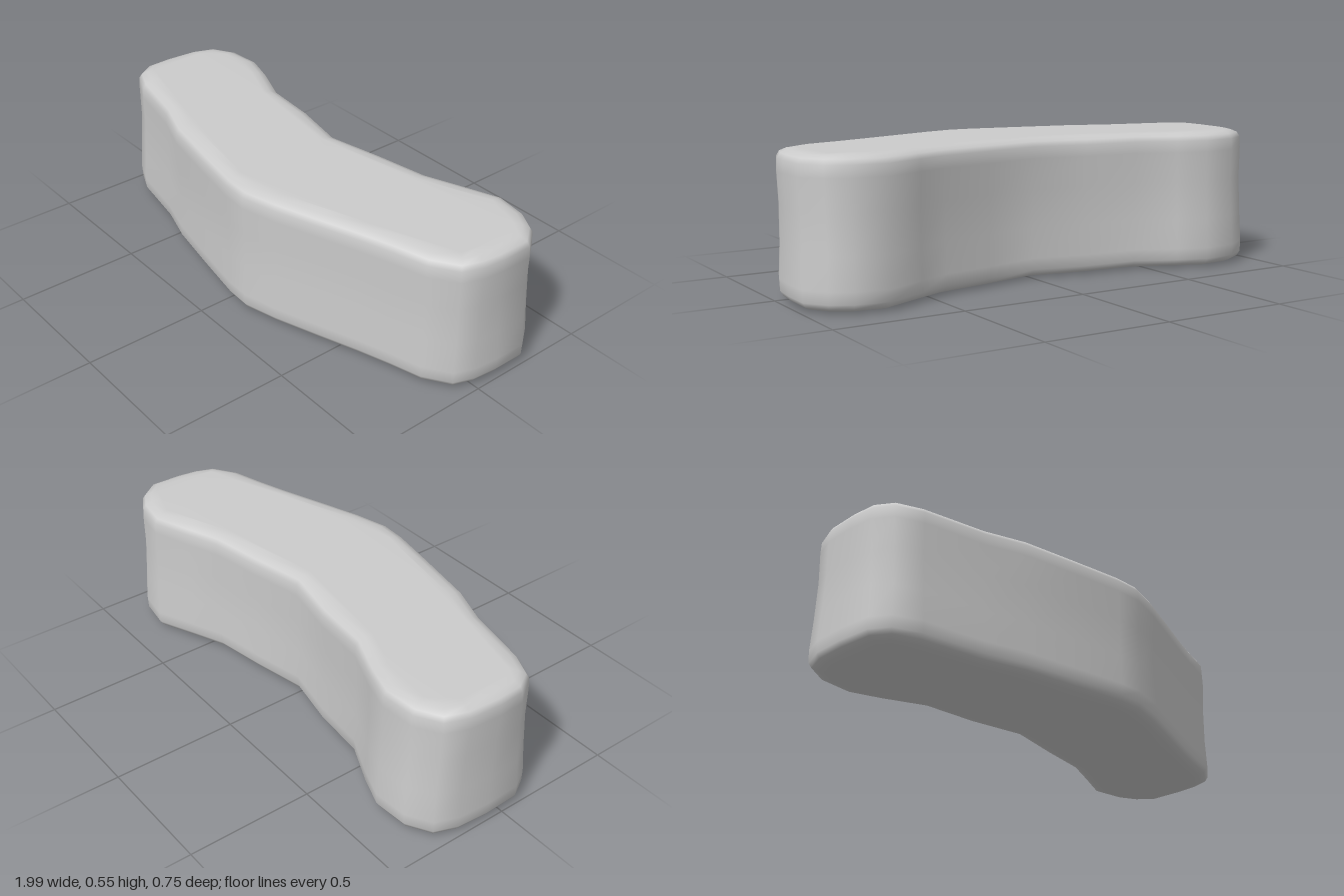
import * as THREE from 'three';

// Plan outline as [x, z], running along the back, round the left end, then along the front
const OUTLINE = [
  [-0.99, -0.2], [-0.955, -0.29], [-0.86, -0.345], [-0.72, -0.355], [-0.6, -0.31],
  [-0.44, -0.235], [-0.22, -0.215], [0, -0.17], [0.22, -0.215], [0.43, -0.25],
  [0.56, -0.305], [0.72, -0.375], [0.85, -0.355], [0.93, -0.31], [0.99, -0.23],
  [0.99, -0.1], [0.98, 0], [0.95, 0.08], [0.85, 0.145], [0.72, 0.18], [0.59, 0.22],
  [0.43, 0.275], [0.25, 0.335], [0.11, 0.37], [0, 0.365], [-0.2, 0.33], [-0.44, 0.285],
  [-0.6, 0.235], [-0.85, 0.19], [-0.95, 0.145], [-0.995, 0.07], [-1, -0.07],
];

// Height and inset of each level: rounded rims with a very slight waist
const LEVELS = [
  [0, 0.07], [0.005, 0.04], [0.016, 0.014], [0.035, 0.002], [0.08, 0], [0.2, 0.006],
  [0.35, 0.006], [0.47, 0], [0.515, 0.002], [0.534, 0.014], [0.545, 0.04], [0.55, 0.07],
];
const HEIGHT = 0.55;

// One level of the block: the outline moved inwards, its lobes leaning slightly in towards the top
function ring(y, inset) {
  const n = OUTLINE.length;
  return OUTLINE.map(([x, z], i) => {
    const [ax, az] = OUTLINE[(i + n - 1) % n];
    const [bx, bz] = OUTLINE[(i + 1) % n];
    const t = new THREE.Vector2(bx - ax, bz - az).normalize();
    const lobe = THREE.MathUtils.smoothstep(Math.abs(x), 0.45, 0.75);
    const side = z < 0 ? 0.018 : x < 0 ? -0.018 : 0;
    const lean = lobe * side * THREE.MathUtils.smoothstep(y / HEIGHT, 0.2, 0.9);
    return new THREE.Vector3(x - t.y * inset, y, z + t.x * inset + lean);
  });
}

function blockGeometry() {
  const n = OUTLINE.length;
  const rings = LEVELS.map(([y, inset]) => ring(y, inset));
  const index = [];

  // Walls and rounded rims
  for (let j = 0; j < rings.length - 1; j++) {
    for (let i = 0; i < n; i++) {
      const a = j * n + i, b = j * n + (i + 1) % n;
      index.push(a, a + n, b, b, a + n, b + n);
    }
  }

  // Flat top and bottom
  const cap = (level, up) => {
    const flat = rings[level].map((p) => new THREE.Vector2(p.x, p.z));
    for (const [a, b, c] of THREE.ShapeUtils.triangulateShape(flat, [])) {
      const area = THREE.ShapeUtils.area([flat[a], flat[b], flat[c]]);
      const o = level * n;
      if ((area < 0) === up) index.push(o + a, o + b, o + c);
      else index.push(o + a, o + c, o + b);
    }
  };
  cap(0, false);
  cap(rings.length - 1, true);

  const geometry = new THREE.BufferGeometry().setFromPoints(rings.flat());
  geometry.setIndex(index);
  geometry.computeVertexNormals();
  return geometry;
}

export function createModel() {
  const model = new THREE.Group();
  model.name = 'curvedBlock';
  const block = new THREE.Mesh(
    blockGeometry(),
    new THREE.MeshStandardMaterial({ color: 0xcccccc }),
  );
  block.name = 'bentStone';
  model.add(block);
  return model;
}
